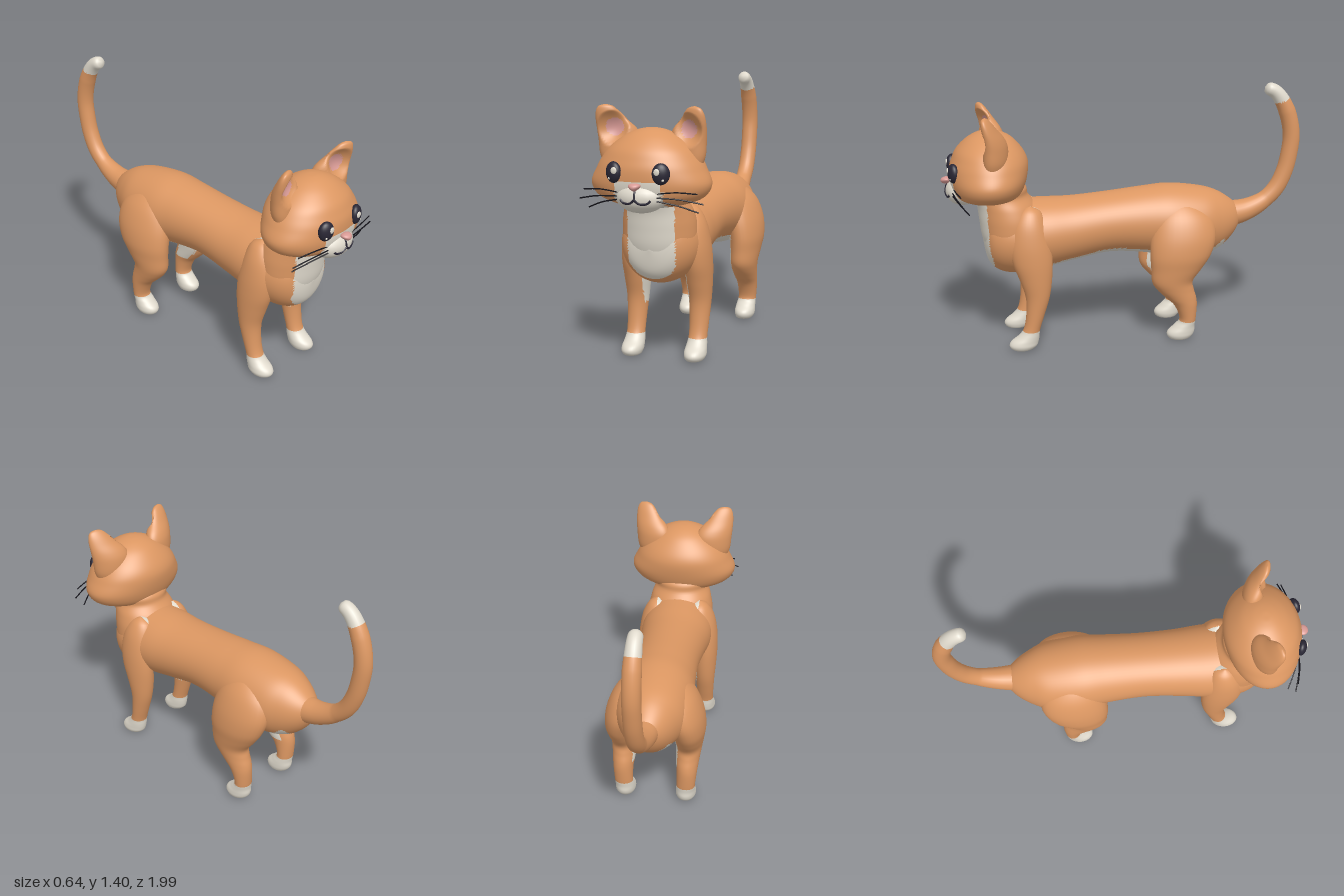
import * as THREE from 'three';
import { mergeVertices } from 'three/addons/utils/BufferGeometryUtils.js';

const flat = (name, color) => {
  const m = new THREE.MeshStandardMaterial({ color });
  m.name = name;
  return m;
};
const fur = flat('ginger fur', 0xdc9762);
const white = flat('cream fur', 0xe0dacd);
const pink = flat('pink skin', 0xd89a95);
const dark = flat('dark eye', 0x2a2735);
const black = flat('black whisker', 0x14131a);

// Welds a geometry and gives it smooth normals
function smooth(geo) {
  geo.deleteAttribute('normal');
  geo.deleteAttribute('uv');
  const g = mergeVertices(geo, 1e-5);
  g.computeVertexNormals();
  return g;
}

// Smooth interpolation through a list of equally long rows
function sample(rows, u) {
  const n = rows.length - 1, f = u * n, i = Math.min(Math.floor(f), n - 1), t = f - i;
  const [a, b, c, d] = [-1, 0, 1, 2].map(k => rows[Math.min(Math.max(i + k, 0), n)]);
  return b.map((p, k) => {
    const m0 = (c[k] - a[k]) / 2, m1 = (d[k] - p) / 2, e = c[k] - p;
    return p + t * (m0 + t * (3 * e - 2 * m0 - m1 + t * (m0 + m1 - 2 * e)));
  });
}

// Oval rings along y or z; rows hold [position, x min, x max, low, high]
function loft(rows, axis, rings, sides) {
  const pos = [], idx = [];
  for (let i = 0; i <= rings; i++) {
    const [t, x0, x1, lo, hi] = sample(rows, i / rings);
    for (let j = 0; j < sides; j++) {
      const a = j / sides * Math.PI * 2;
      const x = (x0 + x1) / 2 + (x1 - x0) / 2 * Math.cos(a);
      const s = (lo + hi) / 2 + (hi - lo) / 2 * Math.sin(a);
      pos.push(x, ...(axis === 'y' ? [t, s] : [s, t]));
    }
  }
  // The rings turn one way or the other depending on axis and direction
  const flip = (axis === 'y') === (rows[0][0] > rows[rows.length - 1][0]);
  for (let i = 0; i < rings; i++) {
    for (let j = 0; j < sides; j++) {
      const a = i * sides + j, b = i * sides + (j + 1) % sides, c = a + sides, d = b + sides;
      if (flip) idx.push(a, b, c, b, d, c);
      else idx.push(a, c, b, b, c, d);
    }
  }
  const geo = new THREE.BufferGeometry();
  geo.setAttribute('position', new THREE.Float32BufferAttribute(pos, 3));
  geo.setIndex(idx);
  return smooth(geo);
}

// Sorts triangles into two colour groups by their centre
function paint(geo, isSecond) {
  const p = geo.attributes.position, src = geo.index.array, parts = [[], []];
  for (let i = 0; i < src.length; i += 3) {
    const tri = [src[i], src[i + 1], src[i + 2]];
    const mid = f => tri.reduce((s, k) => s + f.call(p, k), 0) / 3;
    parts[isSecond(mid(p.getX), mid(p.getY), mid(p.getZ)) ? 1 : 0].push(...tri);
  }
  geo.setIndex(parts.flat());
  geo.addGroup(0, parts[0].length, 0);
  geo.addGroup(parts[0].length, parts[1].length, 1);
  return geo;
}

const even = rows => rows.map(([t, r, lo, hi]) => [t, -r, r, lo, hi]);
const mirror = (rows, s) => rows.map(([t, a, b, lo, hi]) => s > 0 ? [t, a, b, lo, hi] : [t, -b, -a, lo, hi]);

const BODY = even([
  [-.66, 0, .66, .66], [-.65, .045, .61, .705], [-.6, .1, .535, .755], [-.52, .15, .47, .805],
  [-.42, .19, .445, .835], [-.25, .205, .445, .855], [-.1, .19, .475, .845], [.1, .18, .49, .825],
  [.3, .19, .455, .81], [.45, .205, .425, .81], [.6, .205, .402, .81], [.7, .18, .42, .79],
  [.76, .12, .48, .74], [.785, 0, .6, .6]]);
const NECK = even([
  [.45, 0, .63, .63], [.5, .13, .53, .74], [.6, .185, .48, .785], [.7, .19, .465, .8],
  [.78, .175, .49, .81], [.84, .155, .535, .83], [.9, .16, .56, .85], [.97, 0, .72, .72]]);
const HEAD = even([
  [.81, 0, .75, .75], [.815, .1, .66, .85], [.835, .2, .6, .9], [.87, .275, .565, .935],
  [.93, .305, .542, .95], [1, .277, .53, .95], [1.05, .25, .537, .935], [1.1, .21, .565, .91],
  [1.15, .145, .61, .86], [1.18, .085, .66, .81], [1.193, .035, .705, .77], [1.195, 0, .74, .74]]);
const FRONT_LEG = [
  [.8, .13, .13, .54, .54], [.77, .07, .175, .48, .6], [.7, .06, .212, .45, .64], [.6, .08, .232, .43, .655],
  [.5, .1, .238, .425, .64], [.4, .103, .235, .43, .605], [.3, .113, .228, .445, .575],
  [.2, .12, .222, .475, .575], [.12, .122, .218, .5, .59], [.08, .118, .222, .505, .62],
  [.05, .115, .226, .51, .66], [.025, .117, .226, .52, .67], [.004, .13, .21, .55, .65], [0, .17, .17, .6, .6]];
const HIND_LEG = [
  [.8, .1, .1, -.28, -.28], [.77, .03, .16, -.38, -.2], [.7, .03, .222, -.46, -.14], [.6, .06, .262, -.48, -.115],
  [.5, .09, .275, -.45, -.11], [.42, .1, .266, -.4, -.115], [.35, .105, .255, -.35, -.12],
  [.3, .11, .247, -.355, -.15], [.25, .115, .24, -.37, -.2], [.2, .122, .234, -.375, -.25],
  [.12, .124, .226, -.37, -.28], [.08, .118, .226, -.365, -.25], [.05, .115, .228, -.365, -.215],
  [.025, .117, .226, -.355, -.21], [.004, .13, .21, -.33, -.23], [0, .17, .17, -.28, -.28]];
const EAR = [
  [1, .12, .25, .67, .77], [1.06, .095, .272, .65, .775], [1.13, .08, .279, .65, .775], [1.18, .093, .283, .665, .775],
  [1.23, .138, .284, .695, .775], [1.27, .17, .278, .72, .775], [1.295, .195, .262, .74, .77], [1.305, .23, .23, .755, .755]];
const TAIL = [
  [-.58, .66], [-.7, .685], [-.8, .735], [-.87, .805], [-.915, .9], [-.938, 1],
  [-.947, 1.1], [-.93, 1.2], [-.89, 1.295], [-.845, 1.35], [-.785, 1.378]];

// Front surface of the muzzle, used to seat the mouth and whiskers
const muzzle = { y: .875, z: .885, rx: .125, ry: .078, rz: .09 };
const onMuzzle = (x, y) => new THREE.Vector3(x, y,
  muzzle.z + muzzle.rz * Math.sqrt(Math.max(0, 1 - (x / muzzle.rx) ** 2 - ((y - muzzle.y) / muzzle.ry) ** 2)));

export function createModel() {
  const cat = new THREE.Group();
  cat.name = 'cat';
  const add = (name, geo, mat) => {
    const mesh = new THREE.Mesh(geo, mat);
    mesh.name = name;
    cat.add(mesh);
    return mesh;
  };
  const ball = (name, mat, p, s) => {
    const mesh = add(name, new THREE.SphereGeometry(1, 24, 16), mat);
    mesh.position.set(...p);
    mesh.scale.set(...s);
    return mesh;
  };
  const line = (name, mat, points, r) =>
    add(name, new THREE.TubeGeometry(new THREE.CatmullRomCurve3(points), 14, r, 6), mat);

  // Torso and neck with the pale bib and belly
  const bib = (x, y, z) => z > .65 && Math.abs(x) < .124 &&
    (y > .55 || (x / .128) ** 2 + ((y - .55) / .11) ** 2 < 1);
  const belly = (x, y, z) => Math.abs(x) < .12 && y < .55 && z > -.55 && z < .5;
  add('torso', paint(loft(BODY, 'z', 91, 64), (x, y, z) => bib(x, y, z) || belly(x, y, z)), [fur, white]);
  add('neck', paint(loft(NECK, 'y', 42, 80), bib), [fur, white]);

  // Head with the pale patch around the muzzle
  add('head', paint(loft(HEAD, 'y', 66, 80), (x, y, z) => z > .8 && y < .95 && Math.abs(x) < .122), [fur, white]);
  ball('muzzle', white, [0, muzzle.y, muzzle.z], [muzzle.rx, muzzle.ry, muzzle.rz]);

  // Nose, narrowing towards the bottom
  const noseGeo = new THREE.SphereGeometry(1, 24, 16), np = noseGeo.attributes.position;
  for (let i = 0; i < np.count; i++) np.setX(i, np.getX(i) * (.75 + .4 * np.getY(i)));
  const nose = add('nose', smooth(noseGeo), pink);
  nose.position.set(0, .932, .968);
  nose.scale.set(.036, .019, .03);

  // Mouth
  line('mouthLine', dark, [onMuzzle(0, .92), onMuzzle(0, .9), onMuzzle(0, .872)], .005);

  for (const s of [1, -1]) {
    const side = s > 0 ? 'left' : 'right';

    // Legs with pale inner thighs and paws
    const pale = limit => (x, y) => y < .11 || (y > limit && Math.abs(x) < .125);
    add(side + 'FrontLeg', paint(loft(mirror(FRONT_LEG, s), 'y', 65, 32), pale(.27)), [fur, white]);
    add(side + 'HindLeg', paint(loft(mirror(HIND_LEG, s), 'y', 75, 32), pale(.24)), [fur, white]);

    // Ears, hollowed at the front and turned slightly inward
    const ear = loft(mirror(EAR, s), 'y', 42, 48), p = ear.attributes.position;
    const hollow = (x, y) => Math.max(0, 1 - ((Math.abs(x) - .195) / .075) ** 2 - ((y - 1.19) / .085) ** 2);
    for (let i = 0; i < p.count; i++) {
      const x = p.getX(i), y = p.getY(i), z = p.getZ(i);
      const dent = z > .735 ? .05 * hollow(x, y) : 0;
      p.setZ(i, z - dent + (Math.abs(x) - .18) * .25);
    }
    ear.computeVertexNormals();
    const inner = (x, y, z) => z > .71 && ((Math.abs(x) - .193) / .043) ** 2 + ((y - 1.192) / .045) ** 2 < 1;
    add(side + 'Ear', paint(ear, inner), [fur, pink]);

    // Eyes with two glints
    const eye = ball(side + 'Eye', dark, [s * .12, .995, .932], [.043, .052, .028]);
    eye.rotation.y = s * .35;
    ball(side + 'EyeGlint', white, [s * .108, 1.006, .96], [.015, .017, .006]);
    ball(side + 'EyeSmallGlint', white, [s * .135, .968, .949], [.007, .007, .005]);

    // Curl of the mouth
    line(side + 'MouthCurl', dark, [[0, .873], [.02, .856], [.045, .852], [.065, .858], [.076, .87]]
      .map(([x, y]) => onMuzzle(s * x, y)), .006);

    // Whiskers
    for (const [y0, y1, x1, z1] of [[.9, .903, .29, .9], [.882, .855, .317, .89], [.866, .808, .283, .86]]) {
      const a = onMuzzle(s * .1, y0), b = new THREE.Vector3(s * x1, y1, z1);
      const mid = a.clone().lerp(b, .5).add(new THREE.Vector3(0, .008, .008));
      line(side + 'Whisker', black, [a, mid, b], .0035);
    }
  }

  // Tail, tapering from the rump to a rounded pale tip
  const curve = new THREE.CatmullRomCurve3(TAIL.map(([z, y]) => new THREE.Vector3(0, y, z)));
  const rings = 80, sides = 24, tail = new THREE.TubeGeometry(curve, rings, 1, sides);
  const tp = tail.attributes.position, v = new THREE.Vector3();
  for (let i = 0; i <= rings; i++) {
    const u = i / rings, c = curve.getPointAt(u);
    const round = Math.sqrt(Math.max(0, 1 - Math.max(0, (u - .965) / .035) ** 2));
    const r = (.047 + .03 * Math.max(0, 1 - u * 4) - .012 * Math.max(0, (u - .8) / .2)) * round;
    for (let j = 0; j <= sides; j++) {
      const k = i * (sides + 1) + j;
      v.fromBufferAttribute(tp, k).sub(c).multiplyScalar(r).add(c);
      tp.setXYZ(k, v.x, v.y, v.z);
    }
  }
  add('tail', paint(smooth(tail), (x, y, z) => y > 1.3 - (z + .885) * .4), [fur, white]);
  return cat;
}
